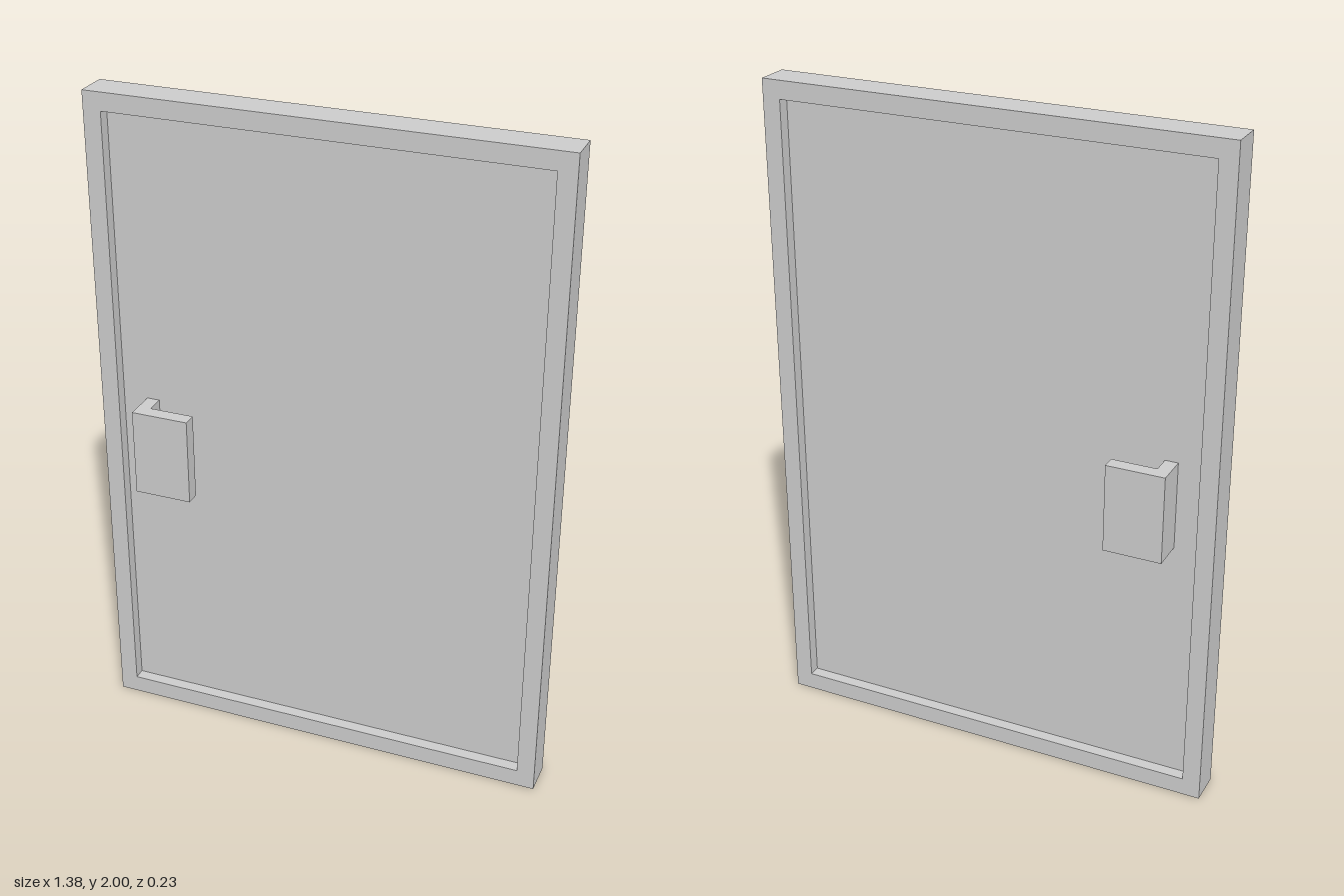
import * as THREE from 'three';

const W = 1.384, H = 2, DEPTH = 0.104;   // outer frame
const BORDER = 0.054;                    // frame bar width
const PANEL = 0.032;                     // panel thickness

const material = new THREE.MeshStandardMaterial({ color: 0xcccccc, flatShading: true });

function add(group, name, geometry) {
  const mesh = new THREE.Mesh(geometry, material);
  mesh.name = name;
  group.add(mesh);
  return mesh;
}

function rectangle(PathType, x0, y0, x1, y1) {
  return new PathType([[x0, y0], [x1, y0], [x1, y1], [x0, y1]].map(p => new THREE.Vector2(...p)));
}

export function createModel() {
  const door = new THREE.Group();
  door.name = 'door';

  // Rectangular frame around the panel
  const outline = rectangle(THREE.Shape, -W / 2, 0, W / 2, H);
  outline.holes.push(rectangle(THREE.Path, -W / 2 + BORDER, BORDER, W / 2 - BORDER, H - BORDER));
  const frame = new THREE.ExtrudeGeometry(outline, { depth: DEPTH, bevelEnabled: false });
  add(door, 'frame', frame.translate(0, 0, -DEPTH / 2));

  // Thin panel recessed on both faces
  const panel = new THREE.BoxGeometry(W - 2 * BORDER, H - 2 * BORDER, PANEL);
  add(door, 'panel', panel.translate(0, H / 2, 0));

  // L-shaped pull handles, mirrored front and back
  for (const [name, side] of [['frontHandle', 1], ['backHandle', -1]]) {
    const profile = new THREE.Shape([
      [-0.562, PANEL / 2], [-0.523, PANEL / 2], [-0.523, 0.073],
      [-0.387, 0.073], [-0.387, 0.116], [-0.562, 0.116],
    ].map(([x, z]) => new THREE.Vector2(x, -z * side)));
    const handle = new THREE.ExtrudeGeometry(profile, { depth: 0.266, bevelEnabled: false });
    add(door, name, handle.rotateX(-Math.PI / 2).translate(0, 0.802, 0));
  }
  return door;
}
